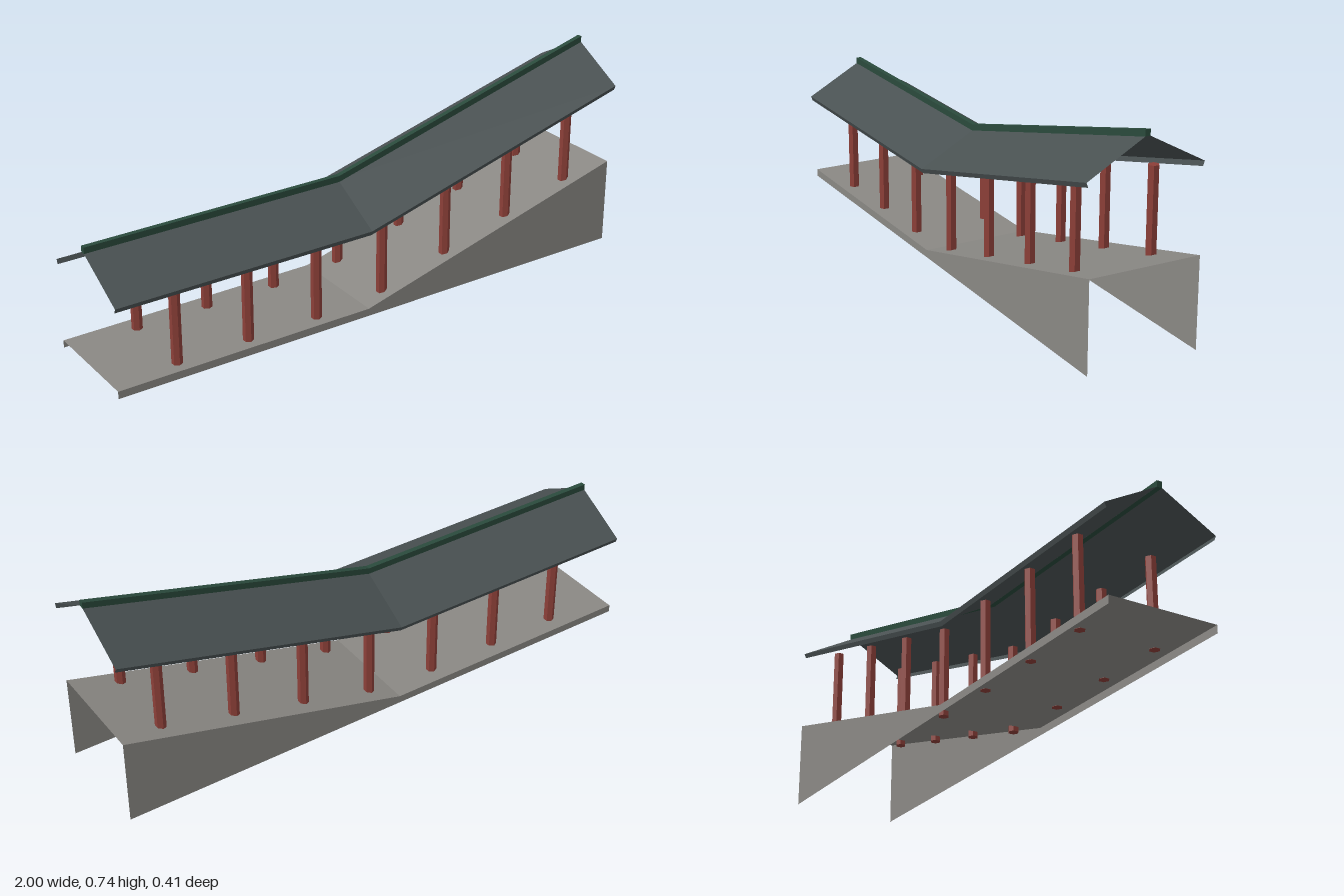
import * as THREE from 'three';

const material = (name, color) => Object.assign(new THREE.MeshStandardMaterial({ color, flatShading: true, side: THREE.DoubleSide }), { name });
const stone = material('grey stone', 0x8a8884);
const tile = material('slate roof tile', 0x495152);
const ridgeGreen = material('dark green ridge', 0x2a4a3c);
const redWood = material('red painted wood', 0x8c3f38);

// Level stretch, then a ramp: x stations and the rise at any x
const STATIONS = [-1, -0.05, 1];
const rise = x => Math.max(0, x + 0.05) * 0.2705;

// Open sheet swept along x. Profile points are [z, y, followsRamp], back to front.
function sweptSheet(profile) {
  const pos = [];
  const point = ([z, y, follows = 1], x) => [x, y + follows * rise(x), z];
  for (let i = 0; i < profile.length - 1; i++) {
    for (let j = 0; j < STATIONS.length - 1; j++) {
      const a = point(profile[i], STATIONS[j]), b = point(profile[i], STATIONS[j + 1]);
      const c = point(profile[i + 1], STATIONS[j + 1]), d = point(profile[i + 1], STATIONS[j]);
      pos.push(...a, ...d, ...c, ...a, ...c, ...b);
    }
  }
  const geometry = new THREE.BufferGeometry();
  geometry.setAttribute('position', new THREE.Float32BufferAttribute(pos, 3));
  geometry.computeVertexNormals();
  return geometry;
}

export function createModel() {
  const group = new THREE.Group();
  group.name = 'coveredWalkway';
  const add = (name, geometry, mat, x = 0, y = 0, z = 0) => {
    const mesh = new THREE.Mesh(geometry, mat);
    mesh.name = name;
    mesh.position.set(x, y, z);
    group.add(mesh);
  };

  // Floor with side walls down to the ground, open at the ends and below
  add('floor', sweptSheet([[-0.2, 0, 0], [-0.2, 0.027], [0.187, 0.027], [0.187, 0, 0]]), stone);

  // Gabled roof sheet with narrow turned-in eaves
  add('roof', sweptSheet([
    [-0.197, 0.309], [-0.203, 0.325], [0, 0.437], [0.203, 0.325], [0.197, 0.309],
  ]), tile);

  // Ridge beam following the bend
  const ridge = new THREE.Shape([
    ...STATIONS.map(x => new THREE.Vector2(x, 0.432 + rise(x))),
    ...[...STATIONS].reverse().map(x => new THREE.Vector2(x, 0.454 + rise(x))),
  ]);
  add('ridgeBeam', new THREE.ExtrudeGeometry(ridge, { depth: 0.018, bevelEnabled: false }), ridgeGreen, 0, 0, -0.009);

  // Two rows of hexagonal posts; those on the ramp reach through the floor
  const height = 0.313;
  const post = new THREE.CylinderGeometry(0.0185, 0.0185, height, 6);
  for (let i = 0; i < 7; i++) {
    const x = -0.762 + i * 0.2662;
    const bottom = x < -0.05 ? 0.026 : 0.006 + rise(x);
    for (const z of [-0.136, 0.136]) {
      add(z > 0 ? 'frontPost' : 'backPost', post, redWood, x, bottom + height / 2, z);
    }
  }
  return group;
}
